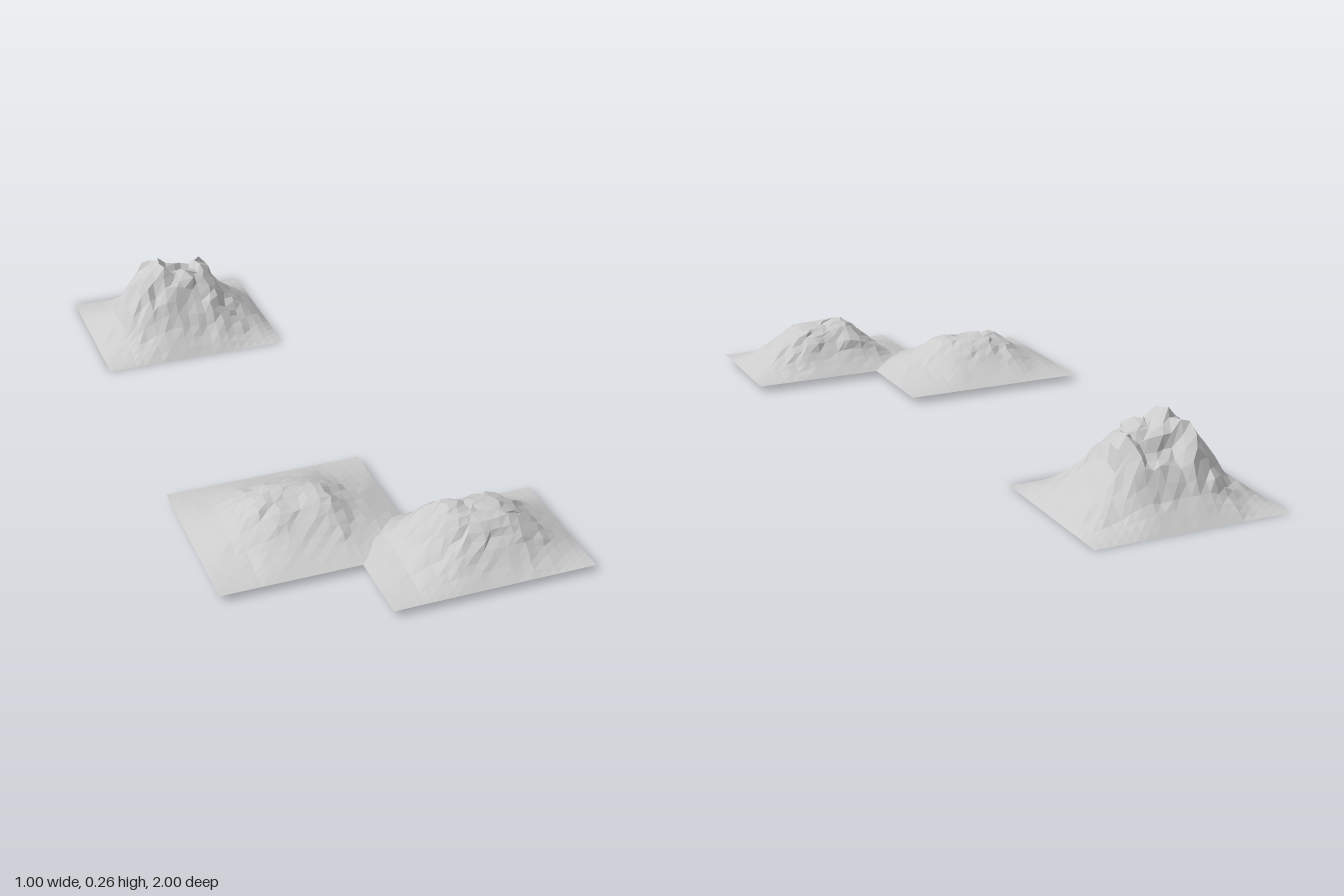
import * as THREE from 'three';

// Piecewise linear profile through [position, height] points
function profile(points, t) {
  for (let i = 1; i < points.length; i++) {
    const [a, ha] = points[i - 1], [b, hb] = points[i];
    if (t <= b) return ha + (hb - ha) * Math.max(0, (t - a) / (b - a));
  }
  return 0;
}

// Seeded hash and smooth value noise in the range -1..1
function hash(i, j, seed) {
  const s = Math.sin(i * 127.1 + j * 311.7 + seed * 74.7) * 43758.5453;
  return (s - Math.floor(s)) * 2 - 1;
}
function noise(x, z, seed) {
  const i = Math.floor(x), j = Math.floor(z);
  const u = THREE.MathUtils.smoothstep(x - i, 0, 1), v = THREE.MathUtils.smoothstep(z - j, 0, 1);
  const { lerp } = THREE.MathUtils;
  return lerp(lerp(hash(i, j, seed), hash(i + 1, j, seed), u),
    lerp(hash(i, j + 1, seed), hash(i + 1, j + 1, seed), u), v);
}

// Open terrain sheet: ridge profile along x times slope profile along z, with gullies
function mountain({ name, base, height, alongX, alongZ, rough, seed, cols = 20, rows = 20 }) {
  const x0 = alongX[0][0], x1 = alongX.at(-1)[0], z0 = alongZ[0][0], z1 = alongZ.at(-1)[0];
  const w = x1 - x0, d = z1 - z0;
  const geo = new THREE.PlaneGeometry(w, d, cols, rows);
  geo.rotateX(-Math.PI / 2);
  geo.translate((x0 + x1) / 2, 0, (z0 + z1) / 2);
  const pos = geo.attributes.position;
  for (let i = 0; i < pos.count; i++) {
    const x = pos.getX(i), z = pos.getZ(i);
    const fx = profile(alongX, x) / height, fz = profile(alongZ, z) / height;
    const n = noise(x * 14, z * 9, seed) + 0.6 * noise(x * 31, z * 31, seed + 5);
    const f = Math.min(fx, fz, Math.pow(Math.max(0, fx * fz), 0.93) * (1.03 + rough * n));
    pos.setY(i, base + height * Math.max(0, f));
    // Push steep rock sideways a little so the crags look broken
    const k = rough * 0.07 * Math.max(0, f);
    pos.setX(i, x + k * hash(i, 1, seed));
    pos.setZ(i, z + k * hash(i, 2, seed));
  }
  const mesh = new THREE.Mesh(geo, new THREE.MeshStandardMaterial({
    color: 0xcccccc, flatShading: true, side: THREE.DoubleSide,
  }));
  geo.computeVertexNormals();
  mesh.name = name;
  return mesh;
}

export function createModel() {
  const group = new THREE.Group();
  group.name = 'mountains';
  // Tall craggy peak at the back
  group.add(mountain({
    name: 'tallMountain', base: 0, height: 0.275, rough: 0.22, seed: 3,
    alongX: [[-0.475, 0], [-0.38, 0.07], [-0.31, 0.19], [-0.27, 0.22], [-0.235, 0.275], [-0.205, 0.25],
      [-0.15, 0.245], [-0.11, 0.21], [-0.075, 0.22], [-0.04, 0.155], [0.02, 0.09], [0.125, 0]],
    alongZ: [[-1, 0], [-0.92, 0.07], [-0.86, 0.17], [-0.8, 0.235], [-0.765, 0.275], [-0.74, 0.25],
      [-0.7, 0.25], [-0.67, 0.22], [-0.63, 0.16], [-0.57, 0.07], [-0.5, 0]],
  }));
  // Low hill at the front, on the right
  group.add(mountain({
    name: 'lowHill', base: 0.02, height: 0.12, rough: 0.14, seed: 8,
    alongX: [[-0.505, 0], [-0.4, 0.045], [-0.34, 0.095], [-0.275, 0.12], [-0.2, 0.112],
      [-0.11, 0.098], [-0.04, 0.052], [0.09, 0]],
    alongZ: [[0.28, 0], [0.37, 0.04], [0.45, 0.09], [0.52, 0.12], [0.59, 0.108], [0.65, 0.065],
      [0.7, 0.035], [0.785, 0]],
  }));
  // Rounded hill at the front, on the left
  group.add(mountain({
    name: 'roundHill', base: 0.02, height: 0.143, rough: 0.18, seed: 12,
    alongX: [[-0.095, 0], [0, 0.03], [0.05, 0.075], [0.1, 0.115], [0.145, 0.143], [0.2, 0.135],
      [0.3, 0.122], [0.36, 0.085], [0.42, 0.04], [0.5, 0]],
    alongZ: [[0.6, 0], [0.65, 0.035], [0.7, 0.095], [0.74, 0.13], [0.79, 0.143], [0.85, 0.133],
      [0.9, 0.085], [0.95, 0.035], [1, 0]],
  }));
  return group;
}
